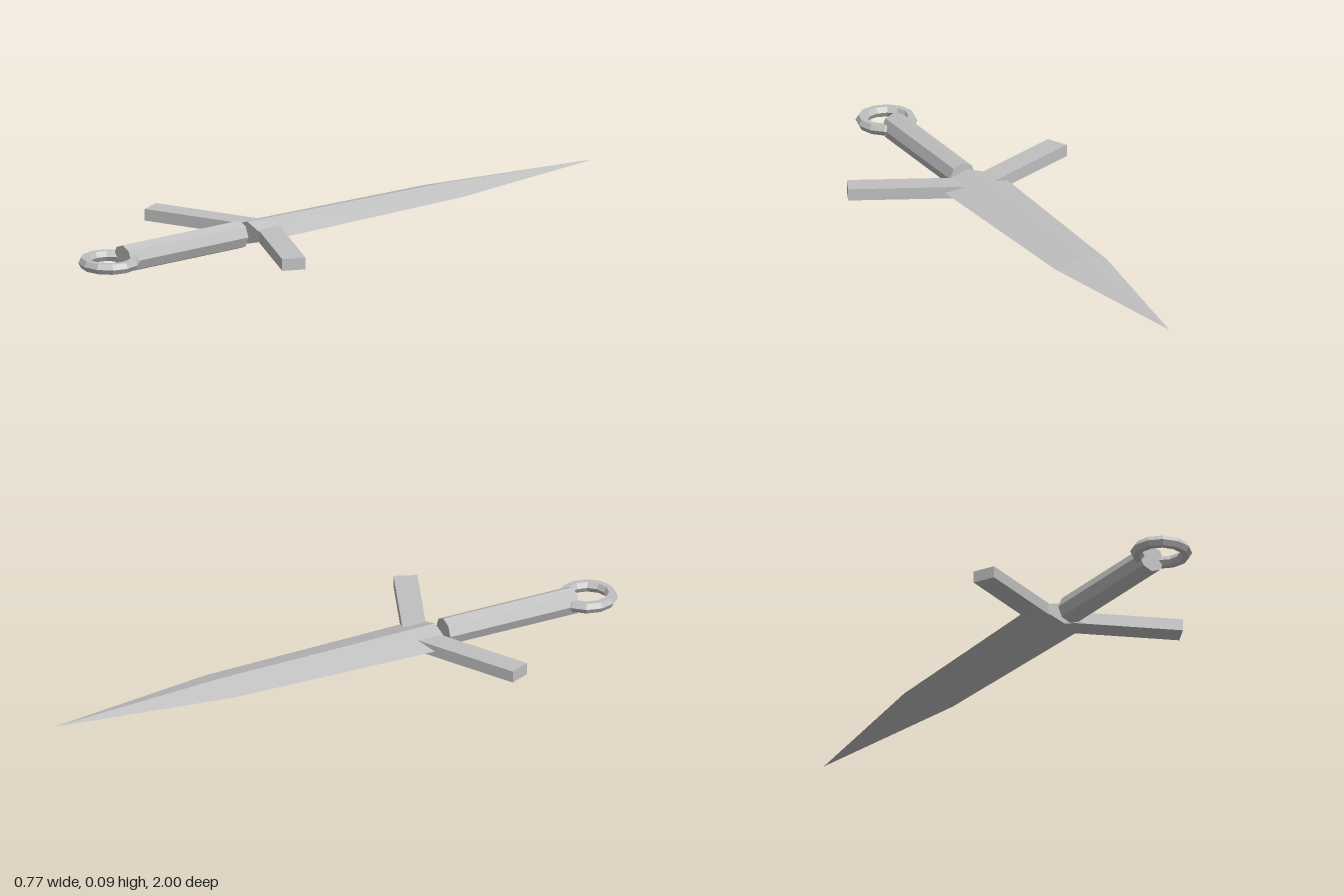
import * as THREE from 'three';

const MID = 0.048; // height of the dagger's centre plane

export function createModel() {
  const steel = new THREE.MeshStandardMaterial({ color: 0xc0c0c0 });
  steel.name = 'steel';
  steel.flatShading = true;

  const group = new THREE.Group();
  group.name = 'dagger';
  const add = (name, geometry, x, y, z) => {
    const mesh = new THREE.Mesh(geometry, steel);
    mesh.name = name;
    mesh.position.set(x, y, z);
    group.add(mesh);
    return mesh;
  };

  // Blade: diamond cross-sections from the base to the tip
  add('blade', bladeGeometry([
    { z: 0.36, w: 0.112, h: 0.036 },
    { z: -0.41, w: 0.09, h: 0.027 },
    { z: -1, w: 0, h: 0 },
  ]), 0, MID, 0);

  // Guard: two flat bars swept toward the pommel, sunk into the blade
  const armGeometry = new THREE.BoxGeometry(0.375, 0.038, 0.075);
  const angle = Math.atan2(0.068, 0.031) - Math.PI / 2;
  for (const side of [1, -1]) {
    const outer = new THREE.Vector2(0.37, 0.459);
    const dir = new THREE.Vector2(Math.cos(angle), -Math.sin(angle));
    const centre = outer.addScaledVector(dir, -0.1875);
    const arm = add(side > 0 ? 'guardLeft' : 'guardRight', armGeometry, side * centre.x, MID, centre.y);
    arm.rotation.y = side * angle;
  }

  // Grip: octagonal rod with a vertex on top
  const grip = new THREE.CylinderGeometry(0.045, 0.045, 0.46, 8);
  grip.rotateX(Math.PI / 2);
  add('grip', grip, 0, MID, 0.62);

  // Pommel: faceted ring lying flat
  const ring = new THREE.TorusGeometry(0.078, 0.019, 6, 12);
  ring.rotateX(Math.PI / 2);
  add('pommelRing', ring, 0, MID, 0.903);

  return group;
}

// Joins diamond sections into a closed solid
function bladeGeometry(sections) {
  const rings = sections.map(({ z, w, h }) => [[w, 0, z], [0, h, z], [-w, 0, z], [0, -h, z]]);
  const points = [];
  for (let i = 0; i < rings.length - 1; i++) {
    const a = rings[i], b = rings[i + 1];
    for (let j = 0; j < 4; j++) {
      const k = (j + 1) % 4;
      points.push(a[j], b[j], a[k]);
      if (i < rings.length - 2) points.push(a[k], b[j], b[k]);
    }
  }
  const base = rings[0];
  points.push(base[0], base[1], base[2], base[0], base[2], base[3]);
  const geometry = new THREE.BufferGeometry();
  geometry.setAttribute('position', new THREE.Float32BufferAttribute(points.flat(), 3));
  geometry.computeVertexNormals();
  return geometry;
}
